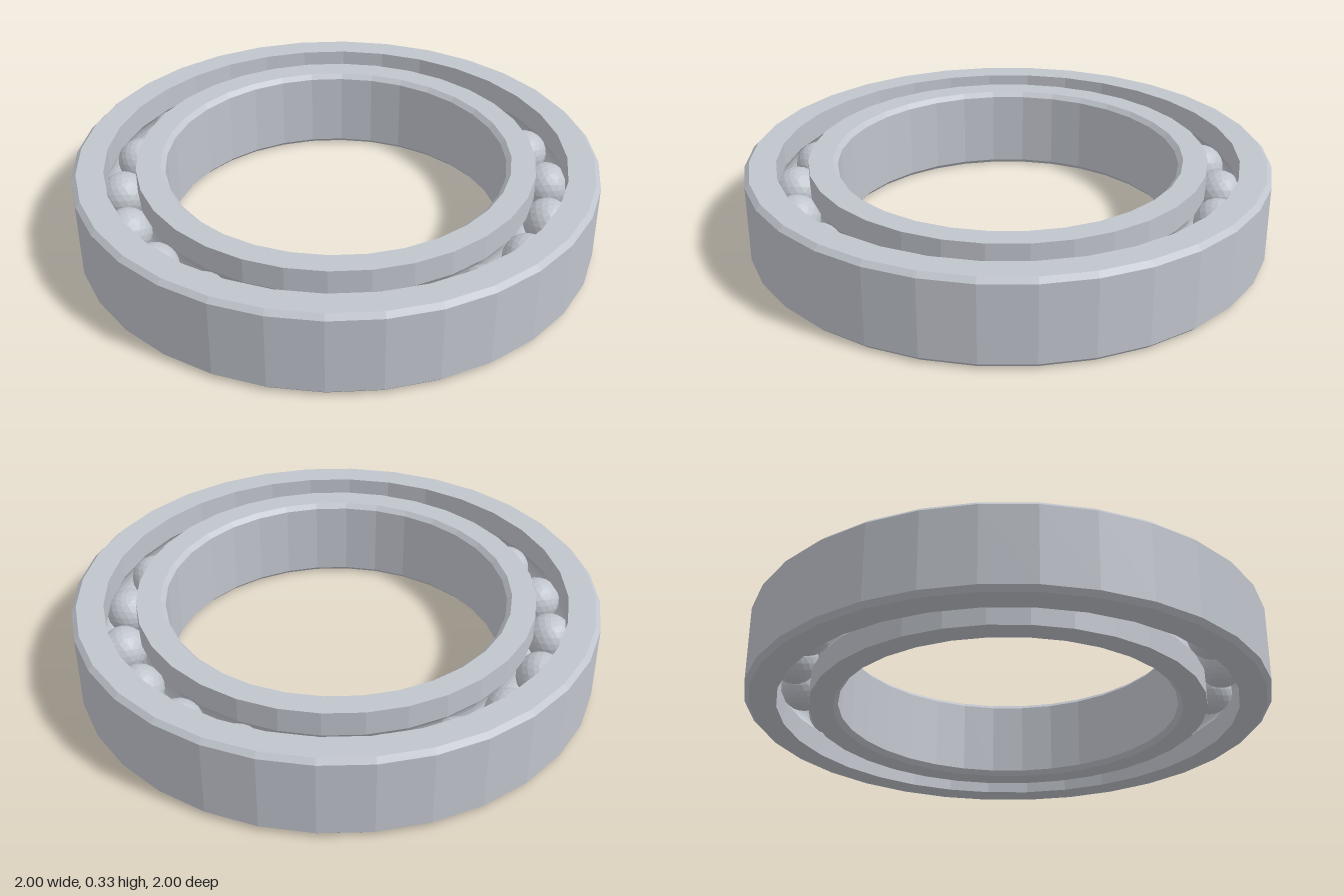
import * as THREE from 'three';

const HEIGHT = 0.33, MID = HEIGHT / 2, CHAMFER = 0.018;
const PITCH = 0.82, BALL = 0.09, GROOVE = 0.092, BALLS = 20, SIDES = 32;

// Revolves a ring section: wall is the chamfered side, race the grooved side.
// side = 1 for the outer ring, -1 for the inner ring.
function ringGeometry(wall, race, side) {
  const half = Math.acos(Math.abs(race - PITCH) / GROOVE);
  const pts = [
    [race, 0], [wall - side * CHAMFER, 0], [wall, CHAMFER],
    [wall, HEIGHT - CHAMFER], [wall - side * CHAMFER, HEIGHT], [race, HEIGHT],
  ];
  // ball groove, from its top edge down
  for (let i = 0; i <= 8; i++) {
    const a = half - (2 * half * i) / 8;
    pts.push([PITCH + side * GROOVE * Math.cos(a), MID + GROOVE * Math.sin(a)]);
  }
  pts.push([race, 0]);
  if (side < 0) pts.reverse(); // keep faces outward
  return new THREE.LatheGeometry(pts.map(([r, y]) => new THREE.Vector2(r, y)), SIDES);
}

export function createModel() {
  const group = new THREE.Group();
  group.name = 'ballBearing';

  const steel = new THREE.MeshStandardMaterial({ color: 0xc0c4cc, flatShading: true });
  steel.name = 'steel';

  const add = (name, geometry) => {
    const mesh = new THREE.Mesh(geometry, steel);
    mesh.name = name;
    group.add(mesh);
    return mesh;
  };

  // races
  add('outerRing', ringGeometry(1, 0.88, 1));
  add('innerRing', ringGeometry(0.65, 0.76, -1));

  // rolling balls
  const ball = new THREE.IcosahedronGeometry(BALL, 3);
  for (let i = 0; i < BALLS; i++) {
    const a = (i / BALLS) * Math.PI * 2;
    const mesh = add('ball' + (i + 1), ball);
    mesh.position.set(PITCH * Math.sin(a), MID, PITCH * Math.cos(a));
    mesh.rotation.y = a;
  }
  return group;
}
